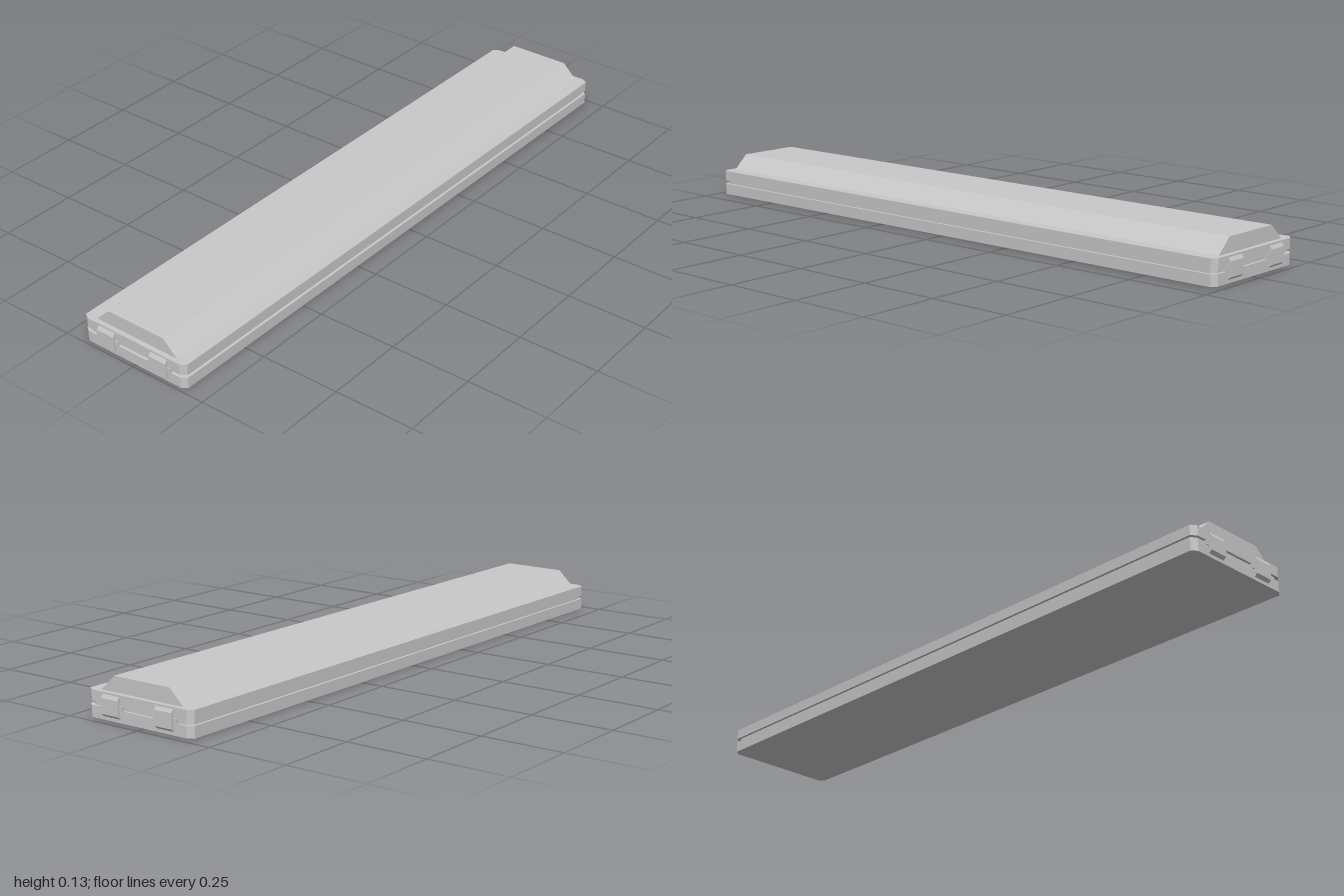
import * as THREE from 'three';

export function createModel() {
  const grey = new THREE.MeshStandardMaterial({ color: 0xc8c8c8, flatShading: true });
  grey.name = 'light grey';
  const model = new THREE.Group();
  model.name = 'longCase';

  const add = (name, geometry) => {
    const mesh = new THREE.Mesh(geometry, grey);
    mesh.name = name;
    model.add(mesh);
    return mesh;
  };
  const extrude = (points, depth) => new THREE.ExtrudeGeometry(
    new THREE.Shape(points.map(([x, y]) => new THREE.Vector2(x, y))),
    { depth, bevelEnabled: false });

  // Flat slab with chamfered corners, lying between two heights
  const slab = (name, hx, hz, y0, y1) => {
    const cx = 0.012, cz = 0.017;
    const outline = [
      [hx, -hz + cz], [hx, hz - cz], [hx - cx, hz], [-hx + cx, hz],
      [-hx, hz - cz], [-hx, -hz + cz], [-hx + cx, -hz], [hx - cx, -hz],
    ];
    const geometry = extrude(outline, y1 - y0);
    geometry.rotateX(-Math.PI / 2);
    geometry.translate(0, y0, 0);
    add(name, geometry);
  };

  // Two shells with a recessed seam between them
  slab('lowerShell', 0.988, 0.187, 0, 0.034);
  slab('seamCore', 0.98, 0.179, 0.034, 0.046);
  slab('upperShell', 0.988, 0.187, 0.046, 0.077);

  // Raised lid with sloping long sides and upright ends
  const lid = extrude([[-0.147, 0.077], [0.147, 0.077], [0.1, 0.122], [-0.1, 0.122]], 1.946);
  lid.translate(0, 0, -0.973);
  lid.rotateY(Math.PI / 2);
  add('raisedLid', lid);

  // Two latches on each end, each with a hinge block filling the seam
  const profile = [[0.98, 0.01], [0.988, 0.01], [0.997, 0.018], [0.997, 0.062], [0.992, 0.071], [0.98, 0.071]];
  for (const turn of [0, Math.PI]) {
    for (const z of [-0.096, 0.096]) {
      const latch = extrude(profile, 0.06);
      latch.translate(0, 0, z - 0.03);
      latch.rotateY(turn);
      add('latch', latch);
      const block = new THREE.BoxGeometry(0.02, 0.015, 0.08);
      block.translate(0.981, 0.04, z);
      block.rotateY(turn);
      add('hingeBlock', block);
    }
  }

  // The case rests very slightly skewed
  model.rotation.set(0, -0.006, 0.003);
  model.position.y = 0.003;
  const root = new THREE.Group();
  root.add(model);
  return root;
}
